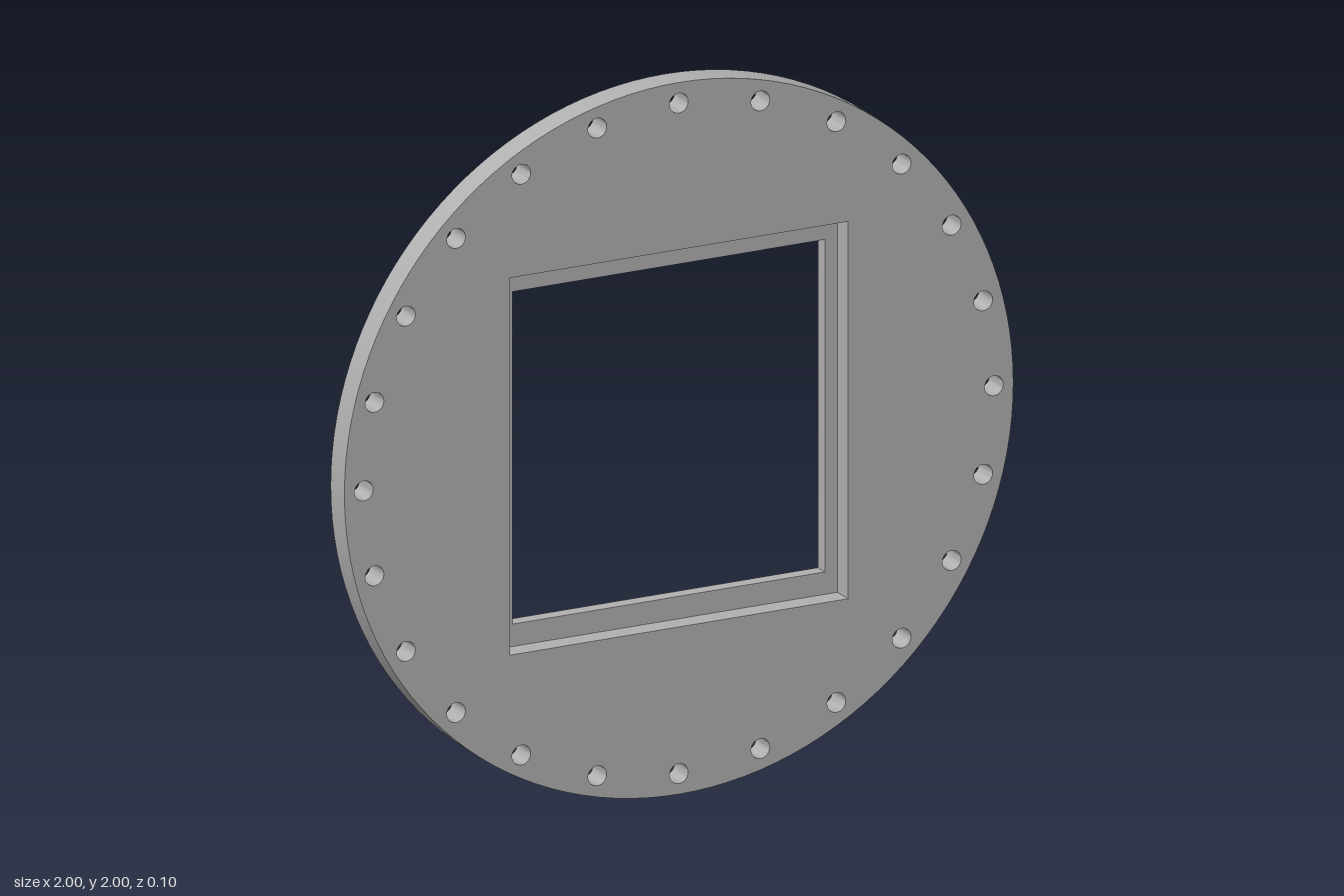
import * as THREE from 'three';
import { toCreasedNormals } from 'three/addons/utils/BufferGeometryUtils.js';

const BACK = -0.05, FLANGE_BACK = -0.03, RECESS_FLOOR = -0.01, FRONT = 0.05;
const GROOVE_IN = 0.845, GROOVE_OUT = 0.88;

// Points around a circle
function circle(cx, cy, r, n) {
  return Array.from({ length: n }, (_, i) => {
    const a = (i / n) * Math.PI * 2;
    return new THREE.Vector2(cx + r * Math.cos(a), cy + r * Math.sin(a));
  });
}

// Corners of a centred rectangle
function rect(hx, hy) {
  return [[-hx, -hy], [hx, -hy], [hx, hy], [-hx, hy]].map(([x, y]) => new THREE.Vector2(x, y));
}

// Ring of 24 bolt holes
function boltHoles() {
  return Array.from({ length: 24 }, (_, i) => {
    const a = (i / 24) * Math.PI * 2;
    return circle(0.942 * Math.cos(a), 0.942 * Math.sin(a), 0.028, 24);
  });
}

export function createModel() {
  const group = new THREE.Group();
  const steel = new THREE.MeshStandardMaterial({ color: 0xb0b0b0 });
  steel.name = 'greySteel';

  const add = (name, geometry) => {
    const mesh = new THREE.Mesh(geometry, steel);
    mesh.name = name;
    mesh.position.y = 1;
    group.add(mesh);
  };

  // Round plate of a given radius with cut-outs, between two depths
  const plate = (name, radius, holes, z0, z1) => {
    const shape = new THREE.Shape(circle(0, 0, radius, 128));
    shape.holes = holes.map((points) => new THREE.Path(points));
    const geometry = new THREE.ExtrudeGeometry(shape, { depth: z1 - z0, bevelEnabled: false });
    geometry.translate(0, 0, z0);
    add(name, toCreasedNormals(geometry, 0.6));
  };

  const windowOpening = rect(0.467, 0.467);

  // Front plate with the wider recess around the window
  plate('frontPlate', 1, [rect(0.505, 0.53), ...boltHoles()], RECESS_FLOOR, FRONT);
  // Bolting flange outside the seal groove
  plate('boltFlange', 1, [circle(0, 0, GROOVE_OUT, 128), ...boltHoles()], FLANGE_BACK, RECESS_FLOOR);
  // Window ledge inside the seal groove
  plate('windowLedge', GROOVE_IN, [windowOpening], FLANGE_BACK, RECESS_FLOOR);
  // Raised boss on the back
  plate('rearBoss', 0.83, [windowOpening], BACK, FLANGE_BACK);

  // Rounded seal groove, open to the back
  const mid = (GROOVE_IN + GROOVE_OUT) / 2, r = (GROOVE_OUT - GROOVE_IN) / 2;
  const profile = Array.from({ length: 13 }, (_, i) => {
    const a = (i / 12) * Math.PI;
    return new THREE.Vector2(mid - r * Math.cos(a), FLANGE_BACK + r * Math.sin(a));
  });
  add('sealGroove', new THREE.LatheGeometry(profile, 128).rotateX(Math.PI / 2));

  return group;
}
